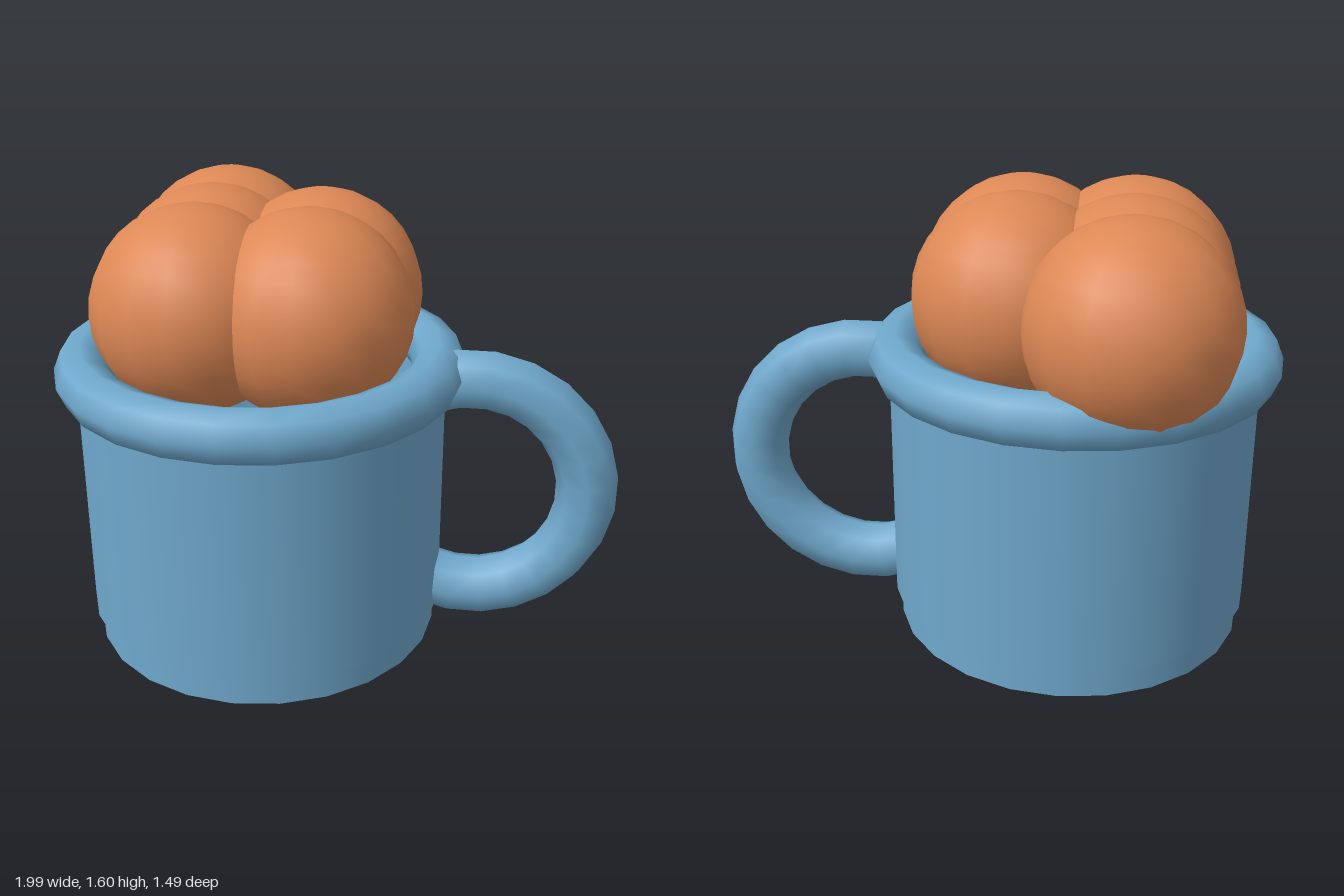
import * as THREE from 'three';

export function createModel() {
  const model = new THREE.Group();
  const blue = new THREE.MeshStandardMaterial({ color: 0x6fa8cc });
  const orange = new THREE.MeshStandardMaterial({ color: 0xdd8855 });
  const CX = -0.275, CZ = 0.02;

  function add(name, geometry, material, x, y, z) {
    const mesh = new THREE.Mesh(geometry, material);
    mesh.name = name;
    mesh.position.set(x, y, z);
    model.add(mesh);
    return mesh;
  }

  // Straight or conical wall piece turned around the mug axis, one per profile
  // segment so the edges between them stay sharp
  function turned(name, profile) {
    for (let i = 0; i < profile.length - 1; i++) {
      const pts = [profile[i], profile[i + 1]].map(p => new THREE.Vector2(p[0], p[1]));
      add(name, new THREE.LatheGeometry(pts, 24), blue, CX, 0, CZ);
    }
  }

  // Stepped base and outer wall, from the bottom centre upwards
  turned('base', [[0, 0], [0.63, 0], [0.63, 0.1]]);
  turned('body', [[0.63, 0.1], [0.65, 0.1], [0.65, 1.0]]);
  // Hollow inside, from the rim down to the floor
  turned('inside', [[0.56, 1.0], [0.51, 0.15], [0, 0.15]]);

  // Rolled rim
  add('rim', new THREE.TorusGeometry(0.627, 0.095, 8, 24).rotateX(Math.PI / 2), blue, CX, 1.008, CZ);

  // Ring handle, both ends sunk into the wall
  const arc = Math.PI * 1.25;
  add('handle', new THREE.TorusGeometry(0.412, 0.108, 8, 15, arc).rotateZ(-arc / 2), blue, 0.477, 0.573, CZ);

  // Heaped balls: two rows plus one at the back
  const ball = new THREE.SphereGeometry(0.355, 16, 16);
  for (const [x, z] of [[-0.47, 0.155], [-0.08, 0.155], [-0.47, -0.115], [-0.08, -0.115], [-0.47, -0.39]]) {
    add('ball', ball, orange, x, 1.24, z);
  }
  return model;
}
